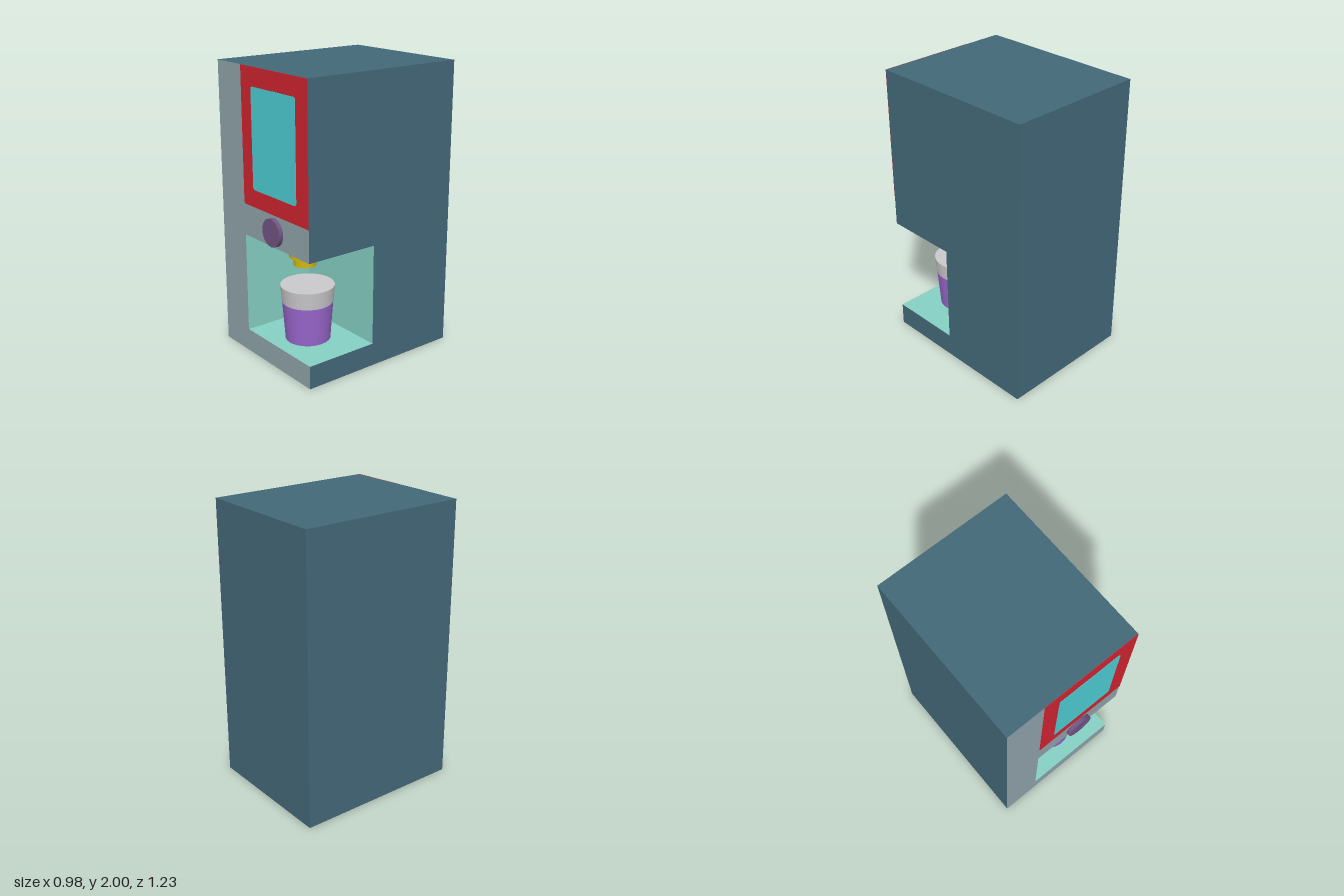
import * as THREE from 'three';

const material = (name, color) => {
  const m = new THREE.MeshStandardMaterial({ color });
  m.name = name;
  return m;
};

// Cabinet and niche limits
const L = -0.49, R = 0.49, BACK = -0.615, FRONT = 0.585, TOP = 2;
const NX = -0.215, NZ = 0.06, NY0 = 0.16, NY1 = 0.86;

const rect = (x0, y0, x1, y1) => [[x0, y0], [x1, y0], [x1, y1], [x0, y1]];

// Rectangle with a rounded radius for each corner, from bottom left counterclockwise
function roundedRect(x0, y0, x1, y1, [bl, br, tr, tl]) {
  const s = new THREE.Shape();
  s.moveTo(x0 + bl, y0).lineTo(x1 - br, y0).quadraticCurveTo(x1, y0, x1, y0 + br);
  s.lineTo(x1, y1 - tr).quadraticCurveTo(x1, y1, x1 - tr, y1);
  s.lineTo(x0 + tl, y1).quadraticCurveTo(x0, y1, x0, y1 - tl);
  s.lineTo(x0, y0 + bl).quadraticCurveTo(x0, y0, x0 + bl, y0);
  return s;
}

export function createModel() {
  const model = new THREE.Group();
  model.name = 'drinkDispenser';

  const slate = material('slate cabinet', 0x436878);
  const grey = material('grey front', 0x8fa3aa);
  const red = material('red panel', 0xd02430);
  const cyan = material('cyan screen', 0x4dcdd3);
  const mint = material('mint niche', 0x86d0c3);
  const plum = material('plum button', 0x705482);
  const gold = material('gold nozzle', 0xd2b611);
  const purple = material('purple cup', 0x9966cc);
  const white = material('white lid', 0xcac8cb);

  const add = (name, geometry, mat, x = 0, y = 0, z = 0) => {
    const mesh = new THREE.Mesh(geometry, mat);
    mesh.name = name;
    mesh.position.set(x, y, z);
    model.add(mesh);
    return mesh;
  };

  // Flat outline turned to face the wanted way
  const panel = (name, mat, points, rx, ry, x, y, z) => {
    const shape = new THREE.Shape(points.map(p => new THREE.Vector2(...p)));
    add(name, new THREE.ShapeGeometry(shape).rotateX(rx).rotateY(ry), mat, x, y, z);
  };
  const Q = Math.PI / 2;

  // Cabinet shell; front and left side are notched around the niche
  panel('cabinetFront', grey, [[L, 0], [R, 0], [R, NY0], [NX, NY0], [NX, NY1],
    [R, NY1], [R, TOP], [L, TOP]], 0, 0, 0, 0, FRONT);
  panel('cabinetLeftSide', slate, [[-FRONT, 0], [-BACK, 0], [-BACK, TOP], [-FRONT, TOP],
    [-FRONT, NY1], [-NZ, NY1], [-NZ, NY0], [-FRONT, NY0]], 0, Q, R, 0, 0);
  panel('cabinetRightSide', slate, rect(BACK, 0, FRONT, TOP), 0, -Q, L, 0, 0);
  panel('cabinetBack', slate, rect(L, 0, R, TOP), 0, Math.PI, 0, 0, BACK);
  panel('cabinetTop', slate, rect(L, -FRONT, R, -BACK), -Q, 0, 0, TOP, 0);
  panel('cabinetBottom', slate, rect(L, BACK, R, FRONT), Q, 0, 0, 0, 0);

  // Niche open to the front and left side
  panel('nicheBack', mint, rect(NX, NY0, R, NY1), 0, 0, 0, 0, NZ);
  panel('nicheWall', mint, rect(-FRONT, NY0, -NZ, NY1), 0, Q, NX, 0, 0);
  panel('nicheFloor', mint, rect(NX, -FRONT, R, -NZ), -Q, 0, 0, NY0, 0);
  panel('nicheCeiling', mint, rect(NX, NZ, R, FRONT), Q, 0, 0, NY1, 0);

  // Display panel and screen as thin plates
  const plate = (name, shape, mat, z) => add(name,
    new THREE.ExtrudeGeometry(shape, { depth: 0.003, bevelEnabled: false, curveSegments: 6 }), mat, 0, 0, z);
  plate('displayPanel', roundedRect(NX, 1.08, R, TOP, [0.02, 0, 0, 0]), red, FRONT);
  plate('screen', roundedRect(-0.1, 1.2, 0.37, 1.875, [0.02, 0.02, 0.02, 0.02]), cyan, FRONT + 0.003);

  // Round button
  add('button', new THREE.CylinderGeometry(0.095, 0.095, 0.03, 24).rotateX(Q), plum, 0.125, 0.967, 0.6);

  // Upright round part between two heights
  const round = (name, mat, rTop, rBottom, y0, y1, x, z) => add(name,
    new THREE.CylinderGeometry(rTop, rBottom, y1 - y0, 24), mat, x, (y0 + y1) / 2, z);

  // Stepped nozzle
  round('nozzleBase', gold, 0.107, 0.107, 0.75, NY1, 0.122, 0.343);
  round('nozzleTip', gold, 0.078, 0.078, 0.69, 0.75, 0.122, 0.343);

  // Tapered cup with its lid
  round('cup', purple, 0.173, 0.153, NY0, 0.43, 0.13, 0.33);
  round('cupLid', white, 0.184, 0.174, 0.43, 0.548, 0.13, 0.33);

  return model;
}
